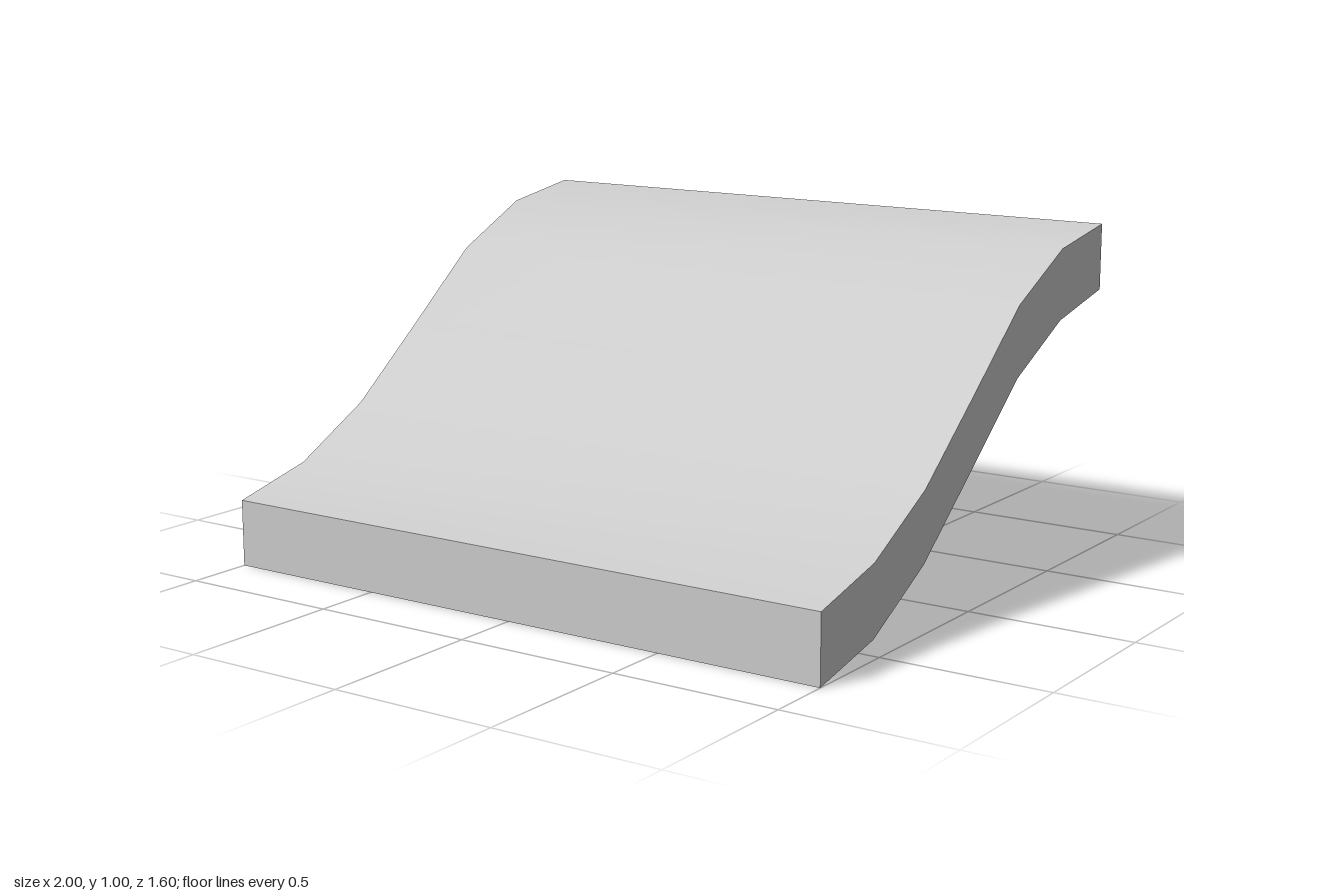
import * as THREE from 'three';

// Heights of the upper and lower surface at even steps from back (-z) to front (+z)
const TOP = [1, 0.957, 0.83, 0.615, 0.405, 0.265, 0.2];
const BOTTOM = [0.803, 0.747, 0.62, 0.407, 0.197, 0.057, 0];
const WIDTH = 2, DEPTH = 1.6, STEPS = TOP.length - 1;

export function createModel() {
  const group = new THREE.Group();
  group.name = 'slopedSlab';

  // A flat slab bent into an S-shaped ramp; each box side keeps its own normals,
  // so the curved faces are smooth and the edges stay sharp
  const geometry = new THREE.BoxGeometry(WIDTH, 1, DEPTH, 1, 1, STEPS);
  const pos = geometry.attributes.position;
  for (let i = 0; i < pos.count; i++) {
    const step = Math.round((pos.getZ(i) / DEPTH + 0.5) * STEPS);
    pos.setY(i, (pos.getY(i) > 0 ? TOP : BOTTOM)[step]);
  }
  geometry.computeVertexNormals();

  const ramp = new THREE.Mesh(geometry, new THREE.MeshStandardMaterial({ color: 0xcccccc }));
  ramp.name = 'ramp';
  group.add(ramp);
  return group;
}
